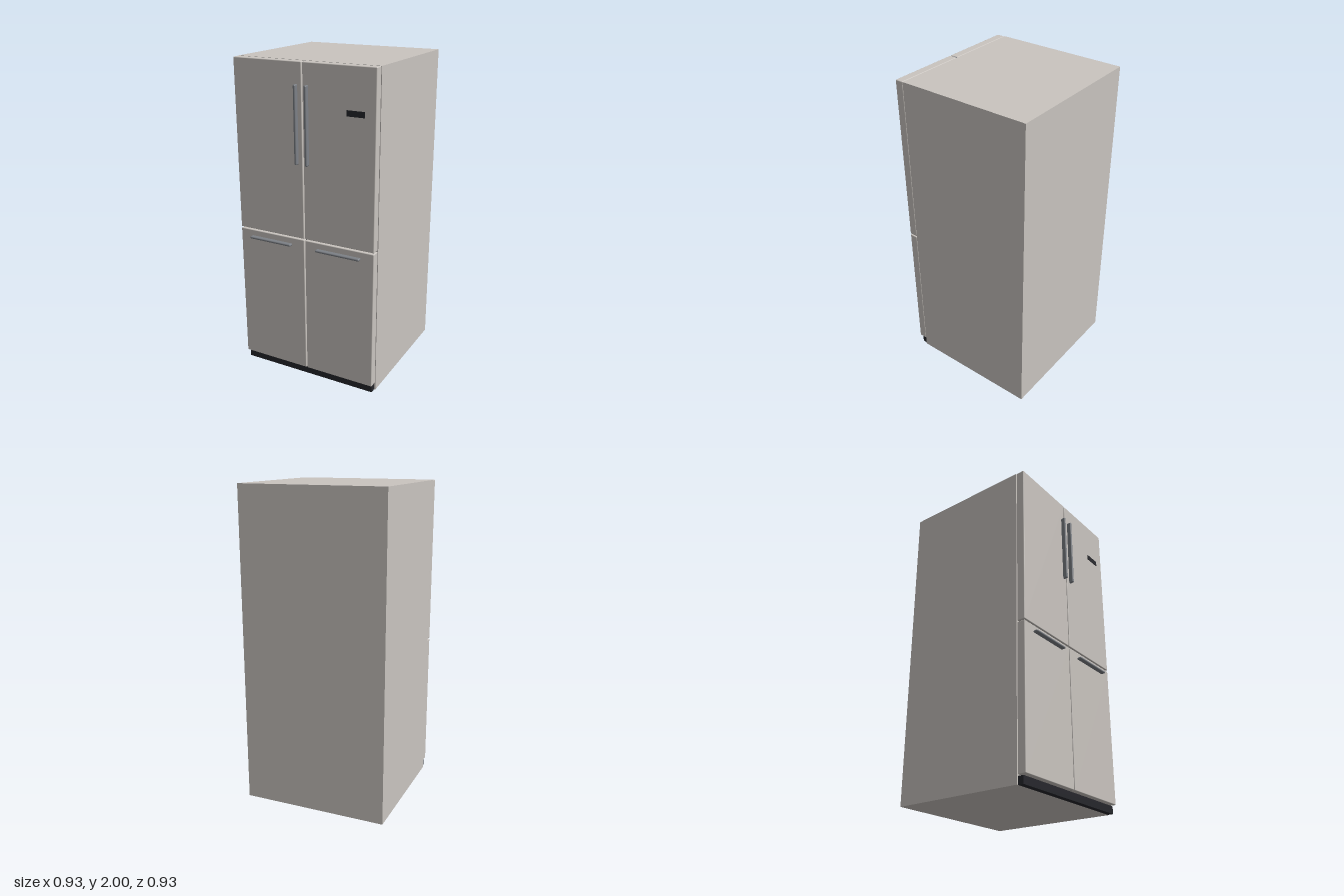
import * as THREE from 'three';
import { RoundedBoxGeometry } from 'three/addons/geometries/RoundedBoxGeometry.js';

const material = (name, color) => {
  const m = new THREE.MeshStandardMaterial({ color });
  m.name = name;
  return m;
};

export function createModel() {
  const model = new THREE.Group();
  model.name = 'refrigerator';
  const steel = material('brushedSteel', 0xc9c4bf);
  const handleGrey = material('handleGrey', 0x7c8086);
  const black = material('black', 0x25262b);

  // Box given by its extents; a radius rounds the edges
  const box = (name, mat, [x0, x1], [y0, y1], [z0, z1], radius = 0) => {
    const size = [x1 - x0, y1 - y0, z1 - z0];
    const geometry = radius
      ? new RoundedBoxGeometry(...size, 3, radius)
      : new THREE.BoxGeometry(...size);
    const mesh = new THREE.Mesh(geometry, mat);
    mesh.name = name;
    mesh.position.set((x0 + x1) / 2, (y0 + y1) / 2, (z0 + z1) / 2);
    model.add(mesh);
  };

  // Cabinet, plinth and the seal between the doors
  box('cabinet', steel, [-0.463, 0.463], [0, 2], [-0.465, 0.379]);
  box('plinth', black, [-0.455, 0.455], [0, 0.047], [0.379, 0.415]);
  box('centreSeal', handleGrey, [-0.004, 0.004], [0.055, 1.998], [0.379, 0.41]);

  // Mirrored doors and handles
  for (const [side, s] of [['left', 1], ['right', -1]]) {
    const span = (a, b) => (s > 0 ? [a, b] : [-b, -a]);
    box(side + 'UpperDoor', steel, span(0.003, 0.462), [0.946, 2], [0.382, 0.435], 0.005);
    box(side + 'LowerDoor', steel, span(0.003, 0.462), [0.053, 0.938], [0.382, 0.435], 0.005);
    box(side + 'UpperHandle', handleGrey, span(0.027, 0.043), [1.41, 1.875], [0.434, 0.465], 0.007);
    box(side + 'LowerHandle', handleGrey, span(0.086, 0.379), [0.888, 0.903], [0.434, 0.465], 0.007);
  }

  // Display on the left upper door
  box('displayPanel', black, [0.284, 0.394], [1.724, 1.758], [0.432, 0.438]);

  return model;
}
